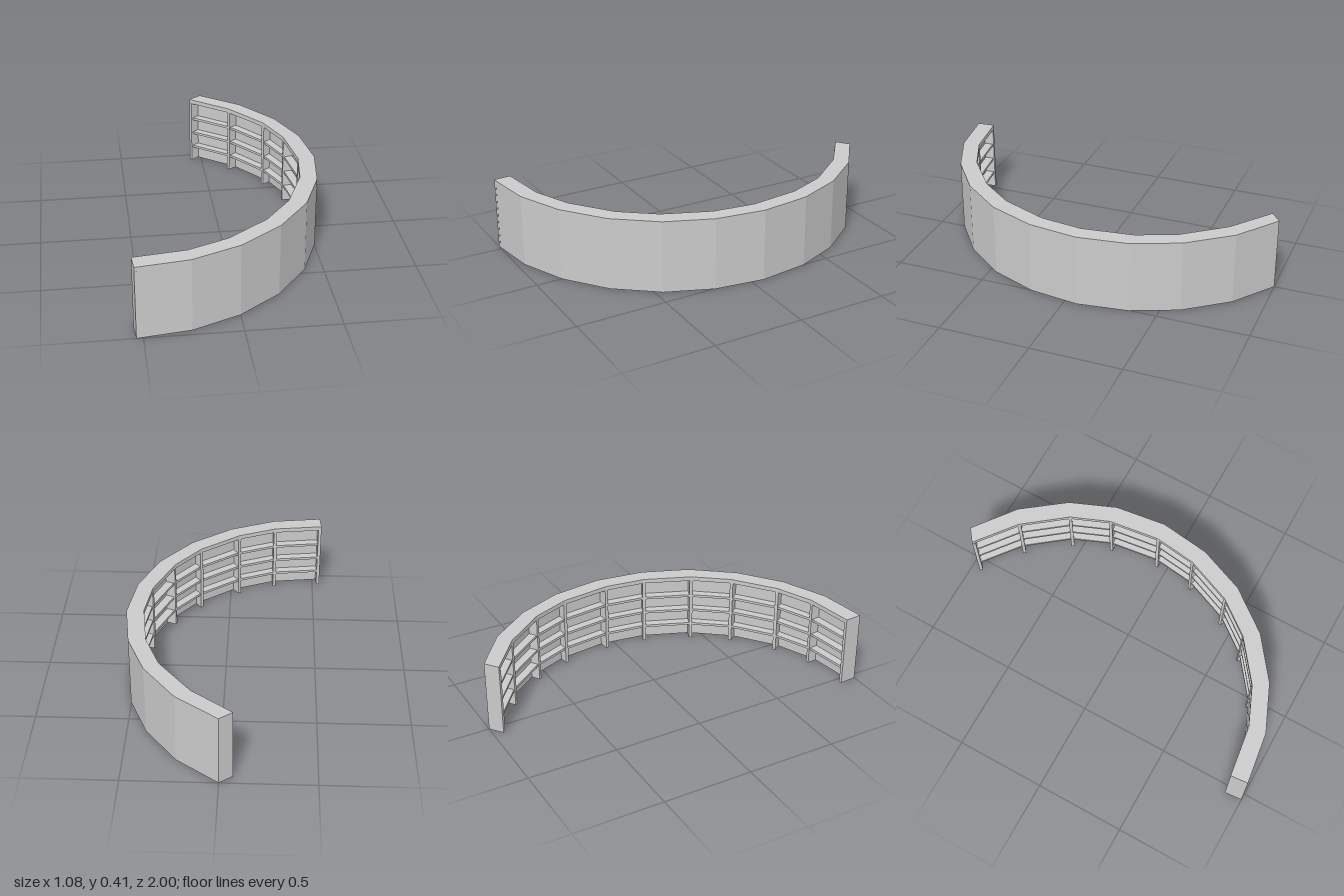
import * as THREE from 'three';

// Plan corners [x, z] of the curved shelf, from the back end to the front end
const OUTER = [[0, -1], [0.225, -0.83], [0.4, -0.6], [0.503, -0.35], [0.54, -0.07], [0.503, 0.205],
  [0.4, 0.46], [0.225, 0.685], [0, 0.855], [-0.255, 0.962], [-0.535, 1]];
const INNER = [[-0.07, -0.947], [0.15, -0.775], [0.325, -0.55], [0.41, -0.34], [0.445, -0.06], [0.415, 0.17],
  [0.31, 0.425], [0.167, 0.61], [-0.053, 0.778], [-0.265, 0.867], [-0.543, 0.904]];
const HEIGHT = 0.405, TOP = 0.025, WALL = 0.42, PANEL = 0.018, SHELF = 0.014;

const material = new THREE.MeshStandardMaterial({ color: 0xcccccc, flatShading: true });

export function createModel() {
  const group = new THREE.Group();
  group.name = 'curvedShelf';

  // Upright prism over a plan outline
  const prism = (name, outline, y0, y1) => {
    const shape = new THREE.Shape(outline.map(([x, z]) => new THREE.Vector2(x, -z)));
    const geometry = new THREE.ExtrudeGeometry(shape, { depth: y1 - y0, bevelEnabled: false });
    geometry.rotateX(-Math.PI / 2).translate(0, y0, 0);
    const mesh = new THREE.Mesh(geometry, material);
    mesh.name = name;
    group.add(mesh);
  };

  // Point at depth t (0 = outer face, 1 = inner edge) on corner i
  const at = (i, t) => OUTER[i].map((v, k) => v + (INNER[i][k] - v) * t);
  const line = (t) => OUTER.map((_, i) => at(i, t));
  const band = (t0, t1) => [...line(t0), ...line(t1).reverse()];

  // Back wall and top board
  prism('backWall', band(0, WALL), 0, HEIGHT - TOP);
  prism('topBoard', band(0, 1), HEIGHT - TOP, HEIGHT);

  // Three curved shelves, set slightly behind the dividers
  for (const y of [0.09, 0.183, 0.277]) prism('shelf', band(WALL, 0.92), y - SHELF / 2, y + SHELF / 2);

  // Dividers on every corner; the end panels sit inside the ends
  const last = OUTER.length - 1;
  for (let i = 0; i <= last; i++) {
    const end = i === 0 || i === last;
    const a = at(i, end ? 0 : WALL), b = at(i, 1);
    const length = Math.hypot(b[0] - a[0], b[1] - a[1]);
    // Unit normal pointing along the arc toward the front end
    const n = [(b[1] - a[1]) / length, -(b[0] - a[0]) / length];
    const ahead = OUTER[Math.min(i + 1, last)], behind = OUTER[Math.max(i - 1, 0)];
    const sign = Math.sign(n[0] * (ahead[0] - behind[0]) + n[1] * (ahead[1] - behind[1]));
    const lo = i === 0 ? 0 : i === last ? -PANEL : -PANEL / 2;
    const move = (p, d) => [p[0] + n[0] * d * sign, p[1] + n[1] * d * sign];
    prism(end ? 'endPanel' : 'divider',
      [move(a, lo), move(b, lo), move(b, lo + PANEL), move(a, lo + PANEL)], 0, HEIGHT - TOP);
  }
  return group;
}
